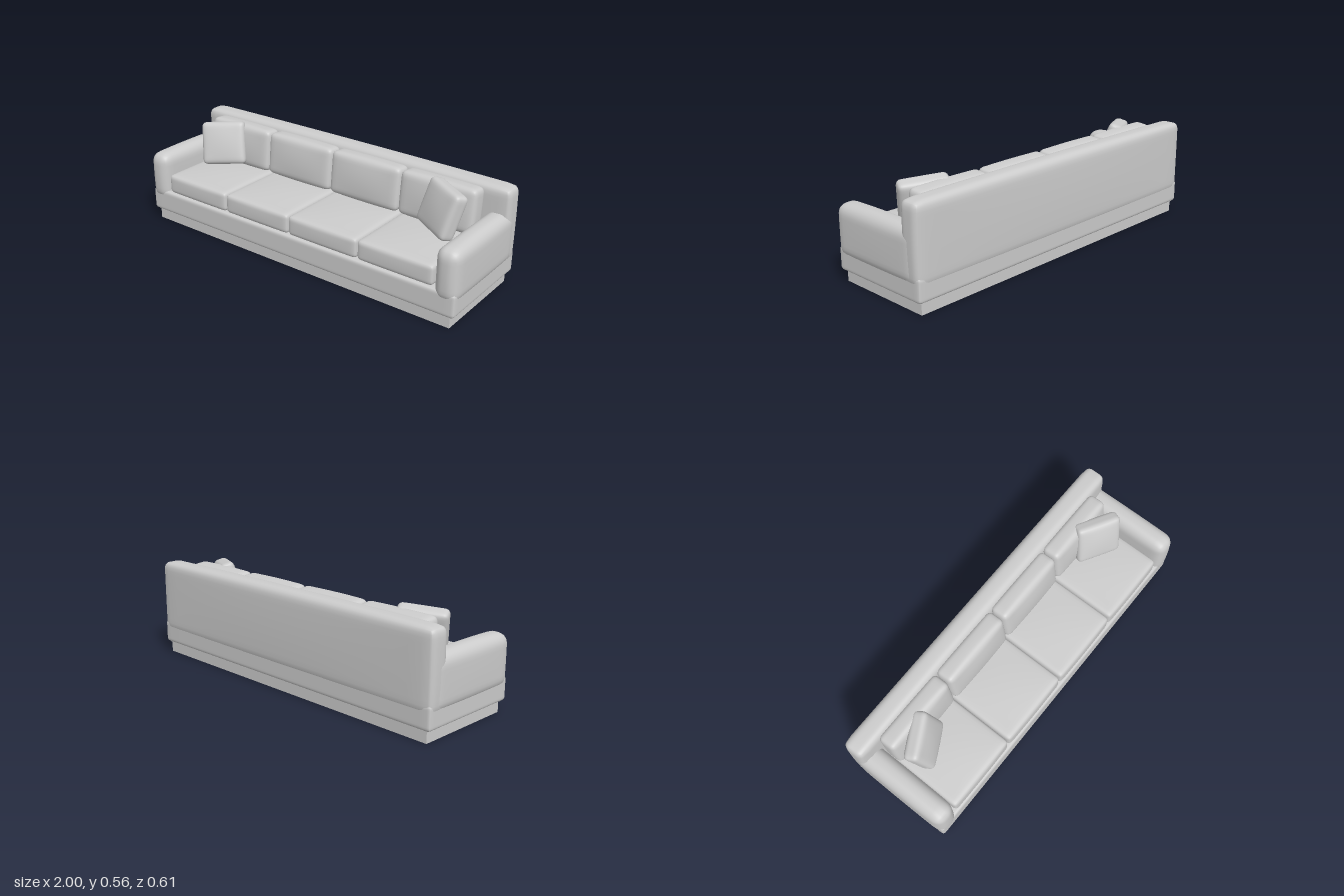
import * as THREE from 'three';
import { mergeVertices } from 'three/addons/utils/BufferGeometryUtils.js';

const material = new THREE.MeshStandardMaterial({ color: 0xcccccc });

// Rounded block whose faces swell by bulge = [x, y, z] toward their middles
function softBox(w, h, d, r, bulge = [0, 0, 0], n = 18) {
  const geo = new THREE.BoxGeometry(2, 2, 2, n, n, n);
  geo.deleteAttribute('uv');
  geo.deleteAttribute('normal');
  const merged = mergeVertices(geo, 1e-4);
  const pos = merged.attributes.position;
  const half = new THREE.Vector3(w / 2, h / 2, d / 2);
  const inner = half.clone().subScalar(r);
  const p = new THREE.Vector3(), core = new THREE.Vector3();
  for (let i = 0; i < pos.count; i++) {
    p.fromBufferAttribute(pos, i);
    // crowd the grid lines toward the edges, where the rounding is
    p.set(...p.toArray().map((t) => Math.sin(t * Math.PI / 2))).multiply(half);
    core.copy(p).clamp(inner.clone().negate(), inner);
    p.sub(core).setLength(r).add(core);
    const [u, v, s] = p.clone().divide(half).toArray();
    p.x += bulge[0] * u * (1 - v * v) * (1 - s * s);
    p.y += bulge[1] * v * (1 - u * u) * (1 - s * s);
    p.z += bulge[2] * s * (1 - u * u) * (1 - v * v);
    pos.setXYZ(i, p.x, p.y, p.z);
  }
  merged.computeVertexNormals();
  return merged;
}

export function createModel() {
  const model = new THREE.Group();
  model.name = 'sofa';
  const add = (name, geo, x, y, z) => {
    const mesh = new THREE.Mesh(geo, material);
    mesh.name = name;
    mesh.position.set(x, y, z);
    model.add(mesh);
    return mesh;
  };

  // Hollow plinth frame, open underneath
  const rect = (Type, x, z) => new Type([
    new THREE.Vector2(-x, -z), new THREE.Vector2(x, -z),
    new THREE.Vector2(x, z), new THREE.Vector2(-x, z),
  ]);
  const frame = rect(THREE.Shape, 0.96, 0.275);
  frame.holes.push(rect(THREE.Path, 0.955, 0.27));
  const plinth = add('plinth', new THREE.ExtrudeGeometry(frame, { depth: 0.06, bevelEnabled: false }), 0, 0, 0);
  plinth.rotation.x = -Math.PI / 2;
  add('plinthLip', new THREE.BoxGeometry(1.935, 0.008, 0.558), 0, 0.062, 0);

  // Base and backrest
  add('base', softBox(1.975, 0.127, 0.592, 0.018), 0, 0.1265, 0);
  add('backrest', softBox(1.98, 0.405, 0.122, 0.038, [0.004, 0.008, 0.006]), 0, 0.3375, -0.238);

  // Arms
  for (const side of [1, -1]) {
    add(side > 0 ? 'leftArm' : 'rightArm',
      softBox(0.126, 0.27, 0.57, 0.052, [0.004, 0.008, 0.006]), side * 0.932, 0.27, 0.015);
  }

  // Seat and back cushions, four of each
  const seatGeo = softBox(0.427, 0.108, 0.45, 0.022, [0.002, 0.012, 0.004]);
  const backGeo = softBox(0.425, 0.232, 0.105, 0.028, [0.004, 0.006, 0.012]);
  for (let i = 0; i < 4; i++) {
    const x = (i - 1.5) * 0.432;
    add('seatCushion' + (i + 1), seatGeo, x, 0.241, 0.06);
    add('backCushion' + (i + 1), backGeo, x, 0.417, -0.125).rotation.x = -0.1;
  }

  // Throw pillows leaning in the corners
  const pillowGeo = softBox(0.25, 0.24, 0.08, 0.026, [0, 0, 0.012]);
  for (const side of [1, -1]) {
    const pillow = add(side > 0 ? 'leftPillow' : 'rightPillow', pillowGeo, side * 0.715, 0.429, -0.025);
    pillow.rotation.set(-0.3, -side * 0.47, -side * 0.08, 'YXZ');
  }
  return model;
}
